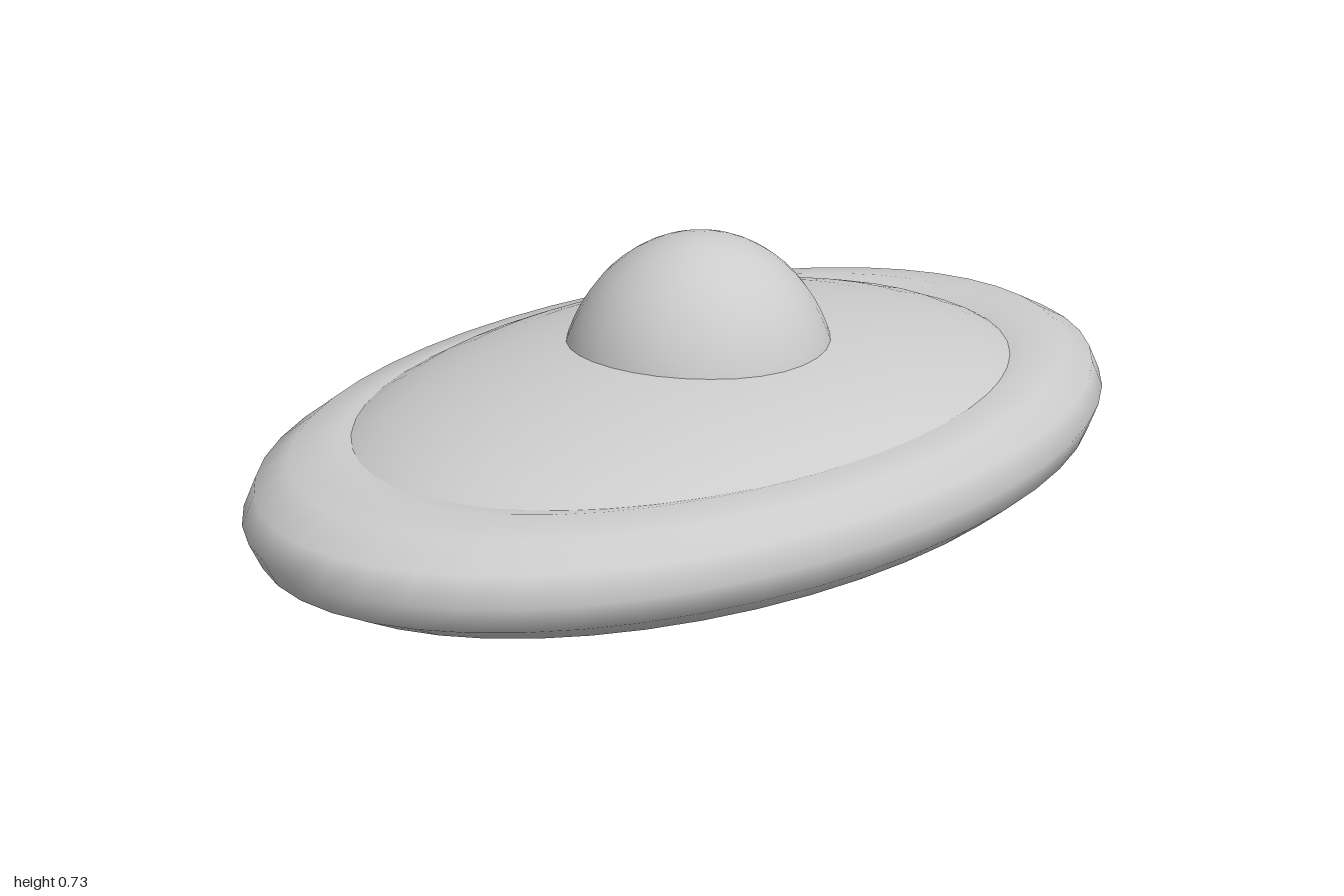
import * as THREE from 'three';

export function createModel() {
  const model = new THREE.Group();
  const material = new THREE.MeshStandardMaterial({ color: 0xcccccc });
  const add = (name, geometry, x, y, z) => {
    const mesh = new THREE.Mesh(geometry, material);
    mesh.name = name;
    mesh.position.set(x, y, z);
    model.add(mesh);
  };

  // Oval rim: a flattened ring around the hull
  const rim = new THREE.TorusGeometry(0.8, 0.2, 12, 48);
  rim.rotateX(Math.PI / 2).scale(0.628, 0.5, 1);
  add('rim', rim, 0, 0.34, 0);

  // Lens-shaped hull
  const hull = new THREE.SphereGeometry(1, 48, 24).scale(0.577, 0.22, 0.843);
  add('hull', hull, 0, 0.33, 0.01);

  // Cockpit dome, its lower edge sunk into the hull
  const dome = new THREE.SphereGeometry(1, 32, 16, 0, Math.PI * 2, 0, Math.PI / 2);
  add('dome', dome.scale(0.252, 0.3, 0.27), 0.018, 0.43, 0.012);

  // Tapered thruster with a rounded tip under the hull
  const profile = [[0, 0.004], [0.057, 0.018], [0.088, 0.11], [0.1, 0.17]]
    .map(([r, y]) => new THREE.Vector2(r, y));
  add('thruster', new THREE.LatheGeometry(profile, 16).scale(1, 1, 1.05), 0.018, 0, 0.02);

  return model;
}
